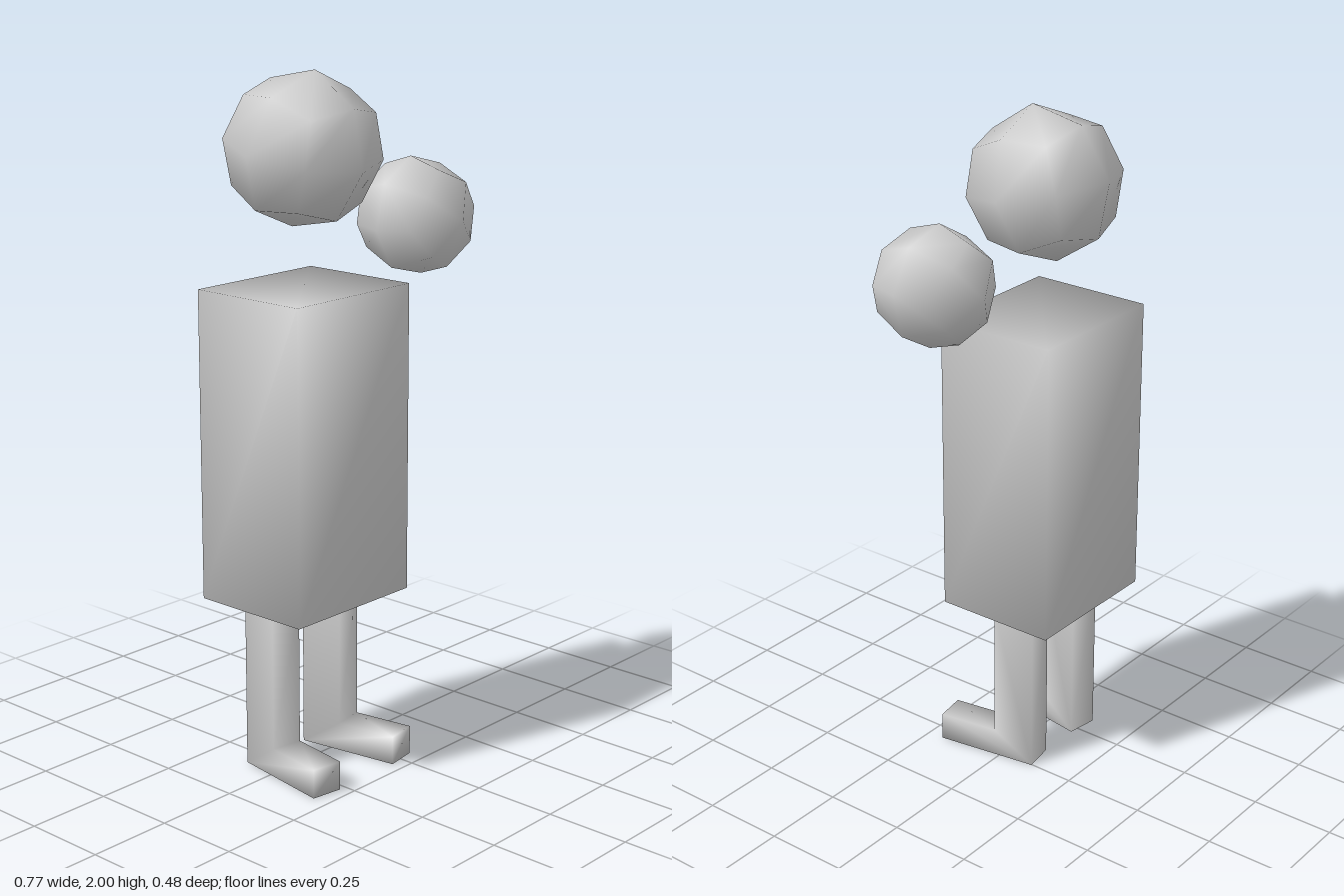
import * as THREE from 'three';
import { mergeVertices } from 'three/addons/utils/BufferGeometryUtils.js';

const CENTER_X = -0.157;

// Weld all corners so the low-poly shapes get shared, smooth normals
function weld(geometry) {
  geometry.deleteAttribute('normal');
  geometry.deleteAttribute('uv');
  const welded = mergeVertices(geometry, 1e-4);
  welded.computeVertexNormals();
  return welded;
}

// Subdivided cube with its vertices pushed out onto a sphere
function cubeSphere(radius) {
  const geometry = new THREE.BoxGeometry(2, 2, 2, 2, 2, 2);
  const pos = geometry.attributes.position;
  const v = new THREE.Vector3();
  for (let i = 0; i < pos.count; i++) {
    v.fromBufferAttribute(pos, i).setLength(radius);
    pos.setXYZ(i, v.x, v.y, v.z);
  }
  return weld(geometry);
}

// Leg and foot as one L-shaped profile, toes towards +z
function legGeometry() {
  const width = 0.095;
  const profile = [
    [-0.064, 0], [0.249, 0], [0.249, 0.085],
    [0.064, 0.085], [0.064, 0.502], [-0.064, 0.502],
  ].map(([x, y]) => new THREE.Vector2(x, y));
  const geometry = new THREE.ExtrudeGeometry(new THREE.Shape(profile), { depth: width, bevelEnabled: false });
  geometry.translate(0, 0, -width / 2);
  geometry.rotateY(-Math.PI / 2);
  return weld(geometry);
}

export function createModel() {
  const model = new THREE.Group();
  model.name = 'figure';
  const material = new THREE.MeshStandardMaterial({ color: 0xcccccc });

  function add(name, geometry, x, y, z) {
    const mesh = new THREE.Mesh(geometry, material);
    mesh.name = name;
    mesh.position.set(x, y, z);
    model.add(mesh);
    return mesh;
  }

  // Block body
  add('body', weld(new THREE.BoxGeometry(0.455, 0.9, 0.375)), CENTER_X, 0.952, -0.022);

  // Floating head, tipped forward
  add('head', cubeSphere(0.222), CENTER_X, 1.782, -0.023).rotation.x = 0.2;

  // Smaller ball floating beside the shoulder
  add('shoulderBall', cubeSphere(0.173), 0.21, 1.566, 0.07).rotation.z = Math.PI / 4 + 0.14;

  // Legs with the toes turned out
  for (const side of [-1, 1]) {
    const leg = add(side > 0 ? 'leftLeg' : 'rightLeg', legGeometry(), CENTER_X + side * 0.122, 0, -0.04);
    leg.rotation.y = side * 0.155;
  }

  return model;
}
